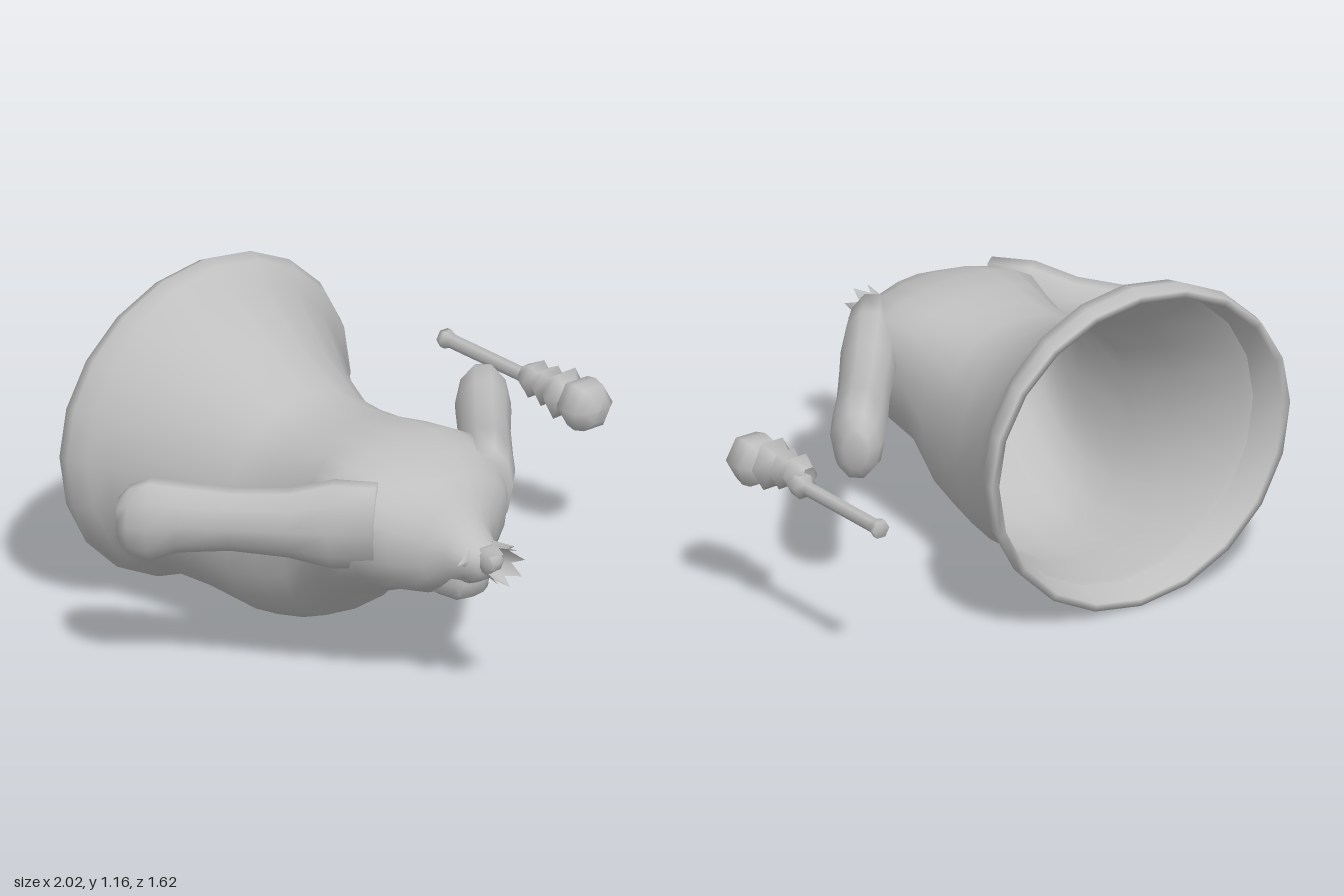
import * as THREE from 'three';

const grey = new THREE.MeshStandardMaterial({ color: 0xbfbfbf, side: THREE.DoubleSide });
grey.name = 'plain grey';

// Smooth skin over rings along z: [z, half width, bottom, top, height of widest point, squareness]
function loft(rings, sides, capEnd = true, capStart = false) {
  const pos = [], index = [];
  for (const [z, hw, y0, y1, ym = (y0 + y1) / 2, p = 2] of rings) {
    for (let j = 0; j < sides; j++) {
      const a = (j / sides) * Math.PI * 2;
      const c = Math.cos(a), s = Math.sin(a);
      const x = Math.sign(c) * Math.abs(c) ** (2 / p) * hw;
      const h = Math.sign(s) * Math.abs(s) ** (2 / p);
      pos.push(x, ym + h * (h > 0 ? y1 - ym : ym - y0), z);
    }
  }
  for (let i = 0; i < rings.length - 1; i++) {
    for (let j = 0; j < sides; j++) {
      const a = i * sides + j, b = i * sides + (j + 1) % sides;
      index.push(a, b, a + sides, b, b + sides, a + sides);
    }
  }
  const last = (rings.length - 1) * sides;
  for (let j = 1; j < sides - 1; j++) {
    if (capEnd) index.push(last, last + j, last + j + 1);
    if (capStart) index.push(0, j + 1, j);
  }
  const g = new THREE.BufferGeometry();
  g.setAttribute('position', new THREE.Float32BufferAttribute(pos, 3));
  g.setIndex(index);
  g.computeVertexNormals();
  return g;
}

function add(parent, name, geometry) {
  const m = new THREE.Mesh(geometry, grey);
  m.name = name;
  parent.add(m);
  return m;
}

export function createModel() {
  const model = new THREE.Group();
  const figure = new THREE.Group();
  figure.name = 'figure';
  figure.position.x = -0.175;
  model.add(figure);

  // Hollow gown, shoulders and head in one skin
  add(figure, 'gownAndHead', loft([
    [-0.70, 0.55, 0.06, 1.11, 0.6],
    [-0.81, 0.595, 0.03, 1.125, 0.6],
    [-0.81, 0.625, 0.005, 1.15, 0.6],
    [-0.77, 0.625, 0.02, 1.17, 0.6],
    [-0.71, 0.59, 0.045, 1.16, 0.6],
    [-0.67, 0.53, 0.06, 1.09, 0.58],
    [-0.46, 0.43, 0.055, 0.95, 0.48],
    [-0.25, 0.365, 0.045, 0.84, 0.42, 2.2],
    [-0.12, 0.34, 0.08, 0.825, 0.45, 2.4],
    [0, 0.33, 0.13, 0.83, 0.48, 2.5],
    [0.12, 0.33, 0.25, 0.845, 0.58, 2.5],
    [0.25, 0.37, 0.3, 0.845, 0.64, 2.4],
    [0.38, 0.36, 0.355, 0.815, 0.63, 2.2],
    [0.48, 0.27, 0.365, 0.775, 0.6],
    [0.54, 0.17, 0.39, 0.71, 0.57],
    [0.59, 0.105, 0.42, 0.655, 0.55],
    [0.65, 0.085, 0.45, 0.6, 0.53],
    [0.71, 0.06, 0.485, 0.585, 0.54],
  ], 20));

  // Chin jutting below the head
  add(figure, 'chin', loft([
    [0.5, 0.09, 0.365, 0.5],
    [0.59, 0.08, 0.37, 0.5],
    [0.62, 0.07, 0.385, 0.5],
    [0.63, 0.06, 0.43, 0.5],
  ].map(r => [...r, undefined, 3]), 12));

  // Arms spread out and back, with rounded hands
  const armRings = [
    [0, 0.09, 0.49, 0.8], [0.15, 0.1, 0.48, 0.8], [0.3, 0.095, 0.51, 0.755],
    [0.5, 0.09, 0.52, 0.74], [0.68, 0.095, 0.5, 0.75], [0.78, 0.095, 0.46, 0.76],
    [0.85, 0.08, 0.48, 0.73], [0.89, 0.045, 0.53, 0.68],
  ];
  for (const side of [-1, 1]) {
    const arm = add(figure, side < 0 ? 'rightArm' : 'leftArm', loft(armRings, 10, true, true));
    arm.position.set(side * 0.245, 0, 0.4);
    arm.rotation.y = Math.atan2(side * 0.64, -0.77);

    // Pointed ears
    const ear = add(figure, side < 0 ? 'rightEar' : 'leftEar', new THREE.ConeGeometry(0.035, 0.08, 4));
    ear.scale.z = 0.6;
    ear.position.set(side * 0.09, 0.555, 0.67);
    ear.rotation.set(0, -side * 0.35, -side * Math.PI / 2);
  }

  // Crown: open ring with every other top corner pulled down
  const crown = new THREE.CylinderGeometry(0.068, 0.05, 0.11, 14, 1, true);
  const p = crown.attributes.position;
  for (let i = 1; i < 15; i += 2) {
    p.setXYZ(i, p.getX(i) * 0.85, -0.005, p.getZ(i) * 0.85);
  }
  crown.computeVertexNormals();
  const crownMesh = add(figure, 'crown', crown);
  crownMesh.rotation.x = Math.PI / 2;
  crownMesh.position.set(0, 0.55, 0.755);
  const knob = add(figure, 'crownCap', new THREE.SphereGeometry(0.052, 6, 5));
  knob.rotation.x = Math.PI / 2;
  knob.position.set(0, 0.55, 0.70);

  // Sceptre lying alongside
  const sceptre = new THREE.Group();
  sceptre.name = 'sceptre';
  sceptre.position.set(0.9, 0.56, 0);
  model.add(sceptre);
  const turned = (name, profile) => {
    const g = new THREE.LatheGeometry(profile.map(([r, z]) => new THREE.Vector2(r, z)), 6);
    g.rotateX(Math.PI / 2);
    g.rotateZ(Math.PI / 6);
    return add(sceptre, name, g);
  };
  turned('shaft', [[0, -0.79], [0.034, -0.79], [0.034, -0.77], [0.025, -0.745],
    [0.025, -0.37], [0.045, -0.35], [0.04, -0.3]]);
  turned('collars', [[0.035, -0.34], [0.07, -0.285], [0.05, -0.26], [0.075, -0.22],
    [0.055, -0.2], [0.095, -0.15], [0.06, -0.125], [0.06, -0.1]]).rotation.set(0.08, 0.08, 0);
  turned('knob', [[0, -0.15], [0.055, -0.135], [0.09, -0.095], [0.096, -0.055],
    [0.085, -0.01], [0.05, 0.018], [0, 0.025]]);
  return model;
}
